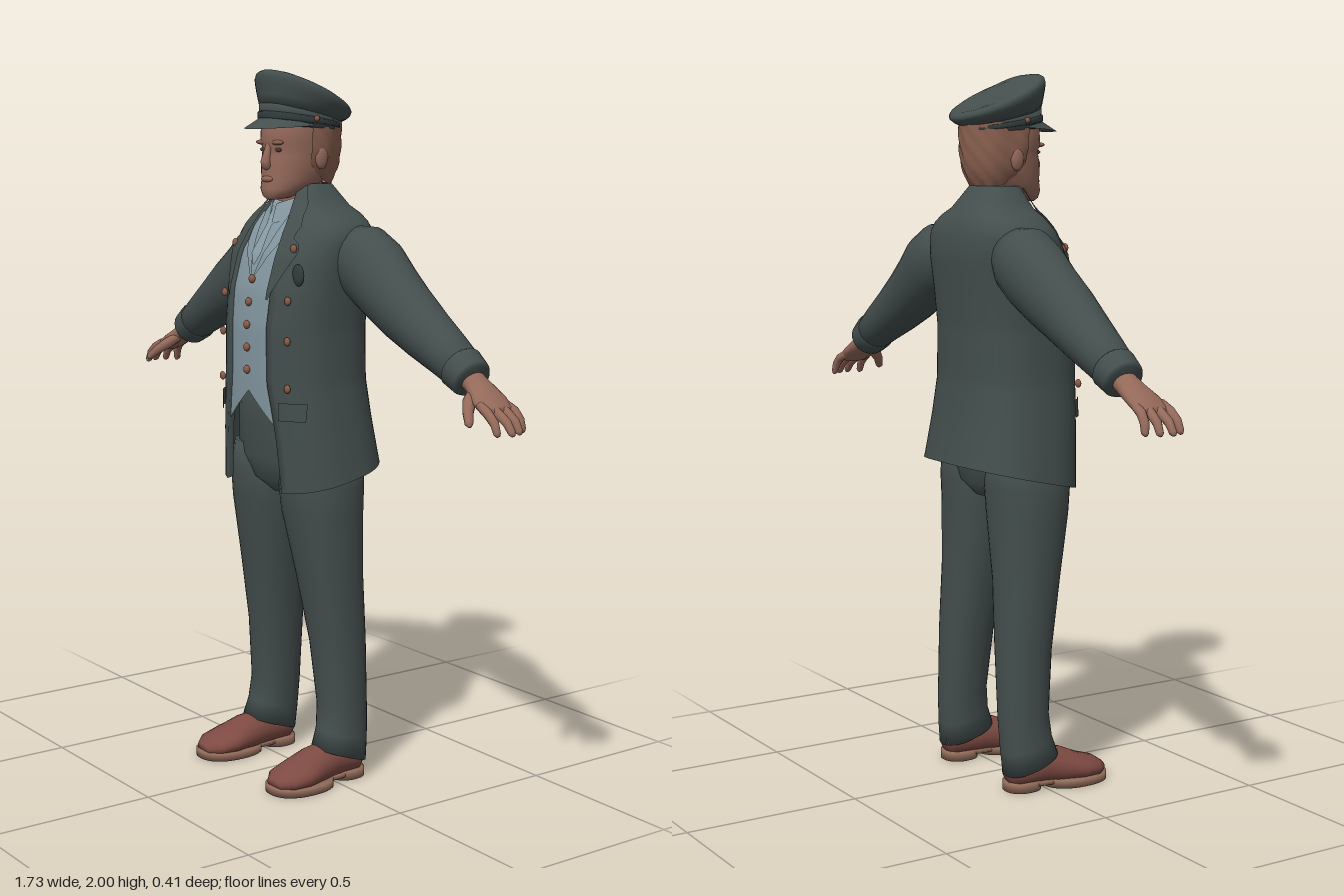
import * as THREE from 'three';
import { mergeVertices } from 'three/addons/utils/BufferGeometryUtils.js';

const mat = (name, color, side = THREE.DoubleSide) => {
  const m = new THREE.MeshStandardMaterial({ color, side });
  m.name = name;
  return m;
};
const lerp = THREE.MathUtils.lerp;
const spow = (v, e) => Math.sign(v) * Math.abs(v) ** e;

// Smooth surface from a rule fn(u, v) -> [x, y, z]; wrap joins u = 1 back to u = 0
function surface(nu, nv, fn, wrap = false, caps = false) {
  const pos = [], idx = [], w = wrap ? nu : nu + 1;
  for (let i = 0; i <= nv; i++) for (let j = 0; j < w; j++) pos.push(...fn(j / nu, i / nv));
  for (let i = 0; i < nv; i++) for (let j = 0; j < nu; j++) {
    const a = i * w + j, b = i * w + (j + 1) % w;
    idx.push(a, b, b + w, a, b + w, a + w);
  }
  if (caps) for (const row of [0, nv]) {
    const c = [0, 0, 0], at = pos.length / 3;
    for (let j = 0; j < w; j++) for (let k = 0; k < 3; k++) c[k] += pos[(row * w + j) * 3 + k] / w;
    pos.push(...c);
    for (let j = 0; j < w; j++) {
      const a = row * w + j, b = row * w + (j + 1) % w;
      row ? idx.push(a, b, at) : idx.push(b, a, at);
    }
  }
  const g = new THREE.BufferGeometry();
  g.setAttribute('position', new THREE.Float32BufferAttribute(pos, 3));
  g.setIndex(idx);
  g.computeVertexNormals();
  return g;
}

// Stack of horizontal rings [yFront, yBack, halfWidth, zFront, zBack, xCentre]
function stack(rows, p = 2, n = 32) {
  return surface(n, rows.length - 1, (u, v) => {
    const [yf, yb, rx, zf, zb, cx = 0] = rows[Math.round(v * (rows.length - 1))];
    const a = u * Math.PI * 2;
    const z = (zf + zb) / 2 + (zf - zb) / 2 * spow(Math.cos(a), 2 / p);
    return [cx + rx * spow(Math.sin(a), 2 / p), lerp(yf, yb, (zf - z) / (zf - zb)), z];
  }, true, true);
}

// Limb through [x, y, z, radiusAlongHint, radiusAcross]
function limb(rows, hint, n = 18, minY = -1) {
  const pts = rows.map(r => new THREE.Vector3(r[0], r[1], r[2])), last = rows.length - 1;
  const frames = pts.map((c, i) => {
    const d = pts[Math.min(i + 1, last)].clone().sub(pts[Math.max(i - 1, 0)]).normalize();
    const u = hint.clone().addScaledVector(d, -hint.dot(d)).normalize();
    return { c, u, v: d.clone().cross(u) };
  });
  return surface(n, last, (s, t) => {
    const i = Math.round(t * last), f = frames[i], a = s * Math.PI * 2;
    const q = f.c.clone().addScaledVector(f.u, Math.cos(a) * rows[i][3]).addScaledVector(f.v, Math.sin(a) * rows[i][4]);
    return [q.x, Math.max(q.y, minY), q.z];
  }, true, true);
}

function mirrored(g) {
  const m = mergeVertices(g.clone());
  m.scale(-1, 1, 1);
  const a = m.index.array;
  for (let i = 0; i < a.length; i += 3) [a[i], a[i + 1]] = [a[i + 1], a[i]];
  return m;
}

// Jacket profile: y, halfWidth, zFront, zBack, half opening
const BODY = [
  [0.88, 0.25, 0.155, -0.205, 0.135], [1.0, 0.235, 0.16, -0.19, 0.12], [1.15, 0.215, 0.165, -0.172, 0.09],
  [1.3, 0.21, 0.165, -0.172, 0.088], [1.4, 0.215, 0.155, -0.18, 0.093], [1.5, 0.225, 0.125, -0.188, 0.095],
  [1.56, 0.225, 0.092, -0.182, 0.085], [1.6, 0.19, 0.065, -0.168, 0.075], [1.63, 0.125, 0.05, -0.145, 0.065],
  [1.69, 0.078, 0.02, -0.1, 0.055]];
const P = 2.5;
function along(table, y) {
  let i = 0;
  while (i < table.length - 2 && y > table[i + 1][0]) i++;
  const a = table[i], b = table[i + 1], t = THREE.MathUtils.clamp((y - a[0]) / (b[0] - a[0]), 0, 1);
  return a.map((v, k) => lerp(v, b[k], t));
}
function frontZ(x, y) {
  const [, rx, zf, zb] = along(BODY, y);
  return (zf + zb) / 2 + (zf - zb) / 2 * Math.max(0, 1 - Math.abs(x / rx) ** P) ** (1 / P);
}
// Thin panel lying on the chest between two edge lines given as [y, xInner, xOuter]
function panel(edges, off) {
  const y0 = edges[0][0], y1 = edges[edges.length - 1][0];
  return surface(8, 20, (u, v) => {
    const y = lerp(y0, y1, v), [, xi, xo] = along(edges, y), x = lerp(xi, xo, u);
    return [x, y, frontZ(x, y) + off];
  });
}

export function createModel() {
  const group = new THREE.Group();
  const cloth = mat('dark uniform cloth', 0x434e4d), vestMat = mat('pale blue vest', 0x83969f);
  const shirt = mat('pale blue shirt', 0x8b9da7), skin = mat('skin', 0x94695a), hairMat = mat('brown hair', 0x89604f);
  const leather = mat('red brown leather', 0x7d4a42), soleMat = mat('tan sole', 0x8f6a58);
  const copper = mat('copper button', 0x8a5a45), metal = mat('dark metal', 0x333d3d), eyeMat = mat('eye', 0x4d3832);
  const add = (name, g, m) => {
    const mesh = new THREE.Mesh(g, m);
    mesh.name = name;
    group.add(mesh);
  };
  const pair = (name, g, m) => { add(name + 'Left', g, m); add(name + 'Right', mirrored(g), m); };
  const ball = (x, y, z, rx, ry, rz) => new THREE.SphereGeometry(1, 16, 12).scale(rx, ry, rz).translate(x, y, z);
  const up = new THREE.Vector3(0, 1, 0);

  // Jacket shell with folded front edges and a hem that rises at the back
  add('jacket', surface(52, 40, (u, v) => {
    const [y, rx, zf, zb, open] = along(BODY, lerp(0.88, 1.69, v));
    const t0 = Math.asin((open / rx) ** (P / 2)), k = THREE.MathUtils.clamp((u * 52 - 1) / 50, 0, 1);
    const t = lerp(t0, Math.PI * 2 - t0, k);
    const z = (zf + zb) / 2 + (zf - zb) / 2 * spow(Math.cos(t), 2 / P) - (u === 0 || u === 1 ? 0.02 : 0);
    const drop = Math.max(0, (1.05 - y) / 0.17) * 0.225 * (z + 0.02);
    return [rx * spow(Math.sin(t), 2 / P), y - drop, z];
  }), cloth);
  pair('lapel', panel([[1.38, 0.088, 0.094], [1.51, 0.09, 0.16], [1.535, 0.085, 0.15], [1.55, 0.083, 0.125],
    [1.575, 0.078, 0.135], [1.63, 0.062, 0.105], [1.685, 0.053, 0.072]], 0.009), cloth);
  pair('pocketFlap', panel([[1.05, 0.135, 0.2], [1.1, 0.135, 0.2]], 0.009), cloth);
  for (const [x, y] of [[0.155, 1.38], [0.158, 1.27], [0.16, 1.14], [0.142, 1.52]])
    pair('jacketButton', ball(x, y, frontZ(x, y) + 0.01, 0.012, 0.012, 0.007), copper);
  add('badge', ball(0.168, 1.45, frontZ(0.168, 1.45) + 0.006, 0.026, 0.03, 0.008), metal);

  // Vest, shirt front and tie
  add('vest', surface(24, 24, (u, v) => {
    const s = u * 2 - 1, y = lerp(1.12 - 0.105 * Math.abs(s), 1.63, v);
    const x = s * Math.min(0.125, along(BODY, y)[1] * 0.7);
    return [x, y, frontZ(x, y) - 0.008];
  }), vestMat);
  pair('vestLapel', panel([[1.44, 0.004, 0.012], [1.53, 0.035, 0.075], [1.61, 0.058, 0.085]], -0.001), vestMat);
  add('tie', panel([[1.47, -0.004, 0.004], [1.5, -0.022, 0.022], [1.58, -0.012, 0.012], [1.585, -0.018, 0.018],
    [1.62, -0.022, 0.022]], 0.004), shirt);
  add('shirtCollar', stack([[1.58, 1.61, 0.088, 0.066, -0.1], [1.62, 1.66, 0.073, 0.06, -0.09],
    [1.637, 1.685, 0.066, 0.055, -0.085]]), shirt);
  pair('collarWing', surface(2, 2, (u, v) => [lerp(0.008, 0.06, u), lerp(1.58 + 0.015 * u, 1.635 + 0.02 * u, v),
    lerp(0.083, 0.066, v) - 0.035 * u]), shirt);
  for (let i = 0; i < 5; i++) {
    const y = 1.43 - i * 0.063;
    add('vestButton', ball(0, y, frontZ(0, y) - 0.003, 0.012, 0.012, 0.008), copper);
  }

  // Trousers
  add('hips', stack([[0.82, 0.82, 0.07, 0.06, -0.09], [0.86, 0.86, 0.16, 0.1, -0.12], [0.92, 0.92, 0.215, 0.112, -0.13],
    [1.02, 1.02, 0.212, 0.115, -0.135], [1.16, 1.16, 0.195, 0.12, -0.13]], 2.3), cloth);
  const legs = [[0.1, 0.045, 0.107, 0.243, 0.048, -0.112], [0.15, 0.11, 0.106, 0.238, 0.03, -0.118],
    [0.22, 0.2, 0.1, 0.232, 0.022, -0.122], [0.4, 0.4, 0.078, 0.23, 0.037, -0.122], [0.6, 0.6, 0.043, 0.235, 0.068, -0.115],
    [0.78, 0.78, 0.006, 0.24, 0.1, -0.12], [0.86, 0.86, 0, 0.24, 0.108, -0.125], [0.95, 0.95, 0.01, 0.225, 0.1, -0.125]];
  pair('trouserLeg', stack(legs.map(([yf, yb, xi, xo, zf, zb]) => [yf, yb, (xo - xi) / 2, zf, zb, (xo + xi) / 2]), 2.2), cloth);

  // Shoes
  pair('shoeUpper', limb([[0.172, 0.05, -0.108, 0.025, 0.025], [0.172, 0.055, -0.085, 0.045, 0.046], [0.172, 0.06, 0, 0.055, 0.052],
    [0.175, 0.052, 0.06, 0.052, 0.062], [0.18, 0.04, 0.12, 0.038, 0.072], [0.183, 0.033, 0.17, 0.03, 0.062],
    [0.184, 0.028, 0.2, 0.016, 0.03]], up, 24, 0.016), leather);
  const block = (y0, y1, rx, zf, zb, cx) => stack([[y0, y0, rx, zf, zb, cx], [y1, y1, rx, zf, zb, cx]], 2.3);
  pair('shoeSole', block(0, 0.022, 0.076, 0.21, 0.008, 0.181), soleMat);
  pair('shoeShank', block(0.012, 0.024, 0.047, 0.08, -0.06, 0.174), soleMat);
  pair('shoeHeel', block(0, 0.026, 0.05, -0.005, -0.112, 0.172), soleMat);

  // Sleeves
  pair('sleeve', limb([[0.15, 1.515, -0.075, 0.07, 0.07], [0.21, 1.49, -0.078, 0.1, 0.09], [0.27, 1.455, -0.08, 0.105, 0.09],
    [0.34, 1.407, -0.077, 0.097, 0.083], [0.41, 1.365, -0.073, 0.088, 0.079], [0.5, 1.312, -0.075, 0.075, 0.072],
    [0.58, 1.268, -0.078, 0.064, 0.064], [0.66, 1.222, -0.08, 0.052, 0.055]], up, 24), cloth);
  pair('cuff', limb([[0.625, 1.242, -0.08, 0.054, 0.056], [0.632, 1.238, -0.08, 0.061, 0.062], [0.672, 1.214, -0.08, 0.055, 0.058],
    [0.682, 1.208, -0.08, 0.048, 0.05]], up, 24), cloth);

  // Hands
  pair('palm', limb([[0.65, 1.226, -0.08, 0.03, 0.036], [0.69, 1.202, -0.08, 0.028, 0.036], [0.72, 1.185, -0.078, 0.026, 0.043],
    [0.755, 1.165, -0.073, 0.023, 0.052], [0.79, 1.146, -0.07, 0.016, 0.049], [0.8, 1.14, -0.07, 0.008, 0.04]], up), skin);
  [[-0.11, -0.122, 0.83], [-0.084, -0.093, 0.852], [-0.057, -0.06, 0.862], [-0.03, -0.025, 0.845]].forEach(([z0, z1, x1]) => {
    pair('finger', limb([[0.765, 1.16, z0, 0.012, 0.012], [0.8, 1.143, lerp(z0, z1, 0.45), 0.013, 0.013],
      [lerp(0.8, x1, 0.6), 1.122, lerp(z0, z1, 0.75), 0.012, 0.012], [x1 - 0.006, 1.098, z1, 0.01, 0.01],
      [x1 - 0.001, 1.092, z1, 0.005, 0.005]], up, 10), skin);
  });
  pair('thumb', limb([[0.705, 1.185, -0.06, 0.014, 0.016], [0.725, 1.163, -0.03, 0.017, 0.018], [0.75, 1.14, -0.005, 0.014, 0.014],
    [0.772, 1.118, 0.01, 0.011, 0.011], [0.778, 1.111, 0.012, 0.005, 0.005]], up, 10), skin);

  // Head and face
  add('neck', stack([[1.56, 1.56, 0.06, 0.04, -0.08], [1.72, 1.72, 0.06, 0.045, -0.085]]), skin);
  add('head', stack([[1.646, 1.655, 0.03, 0.085, 0.01], [1.655, 1.665, 0.05, 0.095, -0.02], [1.675, 1.68, 0.066, 0.099, -0.055],
    [1.7, 1.7, 0.075, 0.094, -0.085], [1.73, 1.73, 0.083, 0.094, -0.11], [1.765, 1.765, 0.088, 0.09, -0.122],
    [1.785, 1.785, 0.09, 0.086, -0.125], [1.805, 1.805, 0.092, 0.094, -0.126], [1.85, 1.85, 0.094, 0.09, -0.122],
    [1.88, 1.87, 0.085, 0.075, -0.11]], 2.2), skin);
  add('nose', limb([[0, 1.802, 0.084, 0.008, 0.009], [0, 1.775, 0.09, 0.011, 0.011], [0, 1.75, 0.096, 0.014, 0.015],
    [0, 1.738, 0.094, 0.013, 0.018], [0, 1.731, 0.088, 0.006, 0.01]], new THREE.Vector3(0, 0, 1), 12), skin);
  add('lips', ball(0, 1.703, 0.092, 0.026, 0.009, 0.008), skin);
  pair('brow', ball(0.037, 1.803, 0.083, 0.026, 0.007, 0.01), hairMat);
  pair('eye', ball(0.036, 1.783, 0.079, 0.014, 0.006, 0.005), eyeMat);
  pair('ear', ball(0.095, 1.762, -0.025, 0.011, 0.032, 0.02), skin);

  // Wavy hair around the sides and back
  add('hair', surface(60, 14, (u, v) => {
    const a = lerp(1.35, Math.PI * 2 - 1.35, u), back = (1 - Math.cos(a)) / 2;
    const y = lerp(lerp(1.78, 1.69, Math.min(1, back * 1.35)), 1.865, v);
    const puff = 1 + 0.028 * Math.sin(a * 11 + v * 9) * Math.sin(v * 11 + a * 3) - 0.25 * (1 - v) ** 4;
    return [0.103 * puff * Math.sin(a), y, -0.018 + 0.122 * puff * Math.cos(a)];
  }), hairMat);

  // Peaked cap, high at the front
  add('capBand', stack([[1.85, 1.835, 0.105, 0.096, -0.13], [1.91, 1.862, 0.107, 0.097, -0.134]], 2, 40), cloth);
  add('capStrap', stack([[1.868, 1.838, 0.107, 0.099, -0.132], [1.872, 1.84, 0.11, 0.102, -0.135],
    [1.885, 1.848, 0.11, 0.102, -0.135], [1.889, 1.85, 0.107, 0.099, -0.133]], 2, 40), metal);
  add('capCrown', stack([[1.905, 1.852, 0.106, 0.096, -0.133], [1.935, 1.858, 0.122, 0.099, -0.15], [1.962, 1.866, 0.132, 0.102, -0.162],
    [1.982, 1.874, 0.135, 0.104, -0.165], [1.995, 1.882, 0.131, 0.1, -0.16], [2.0, 1.89, 0.12, 0.09, -0.148],
    [1.996, 1.902, 0.085, 0.055, -0.11], [1.978, 1.922, 0.04, 0.01, -0.065]], 2, 40), cloth);
  add('capVisor', surface(32, 6, (u, v) => {
    const a = lerp(-1.4, 1.4, u), c = Math.cos(a), w = v * c;
    return [(0.104 + 0.012 * w) * Math.sin(a), 1.85 + 0.022 * c - 0.032 * w, -0.017 + 0.112 * c + 0.056 * w];
  }), cloth);
  pair('capButton', ball(0.108, 1.868, 0.0, 0.007, 0.008, 0.008), copper);
  return group;
}
